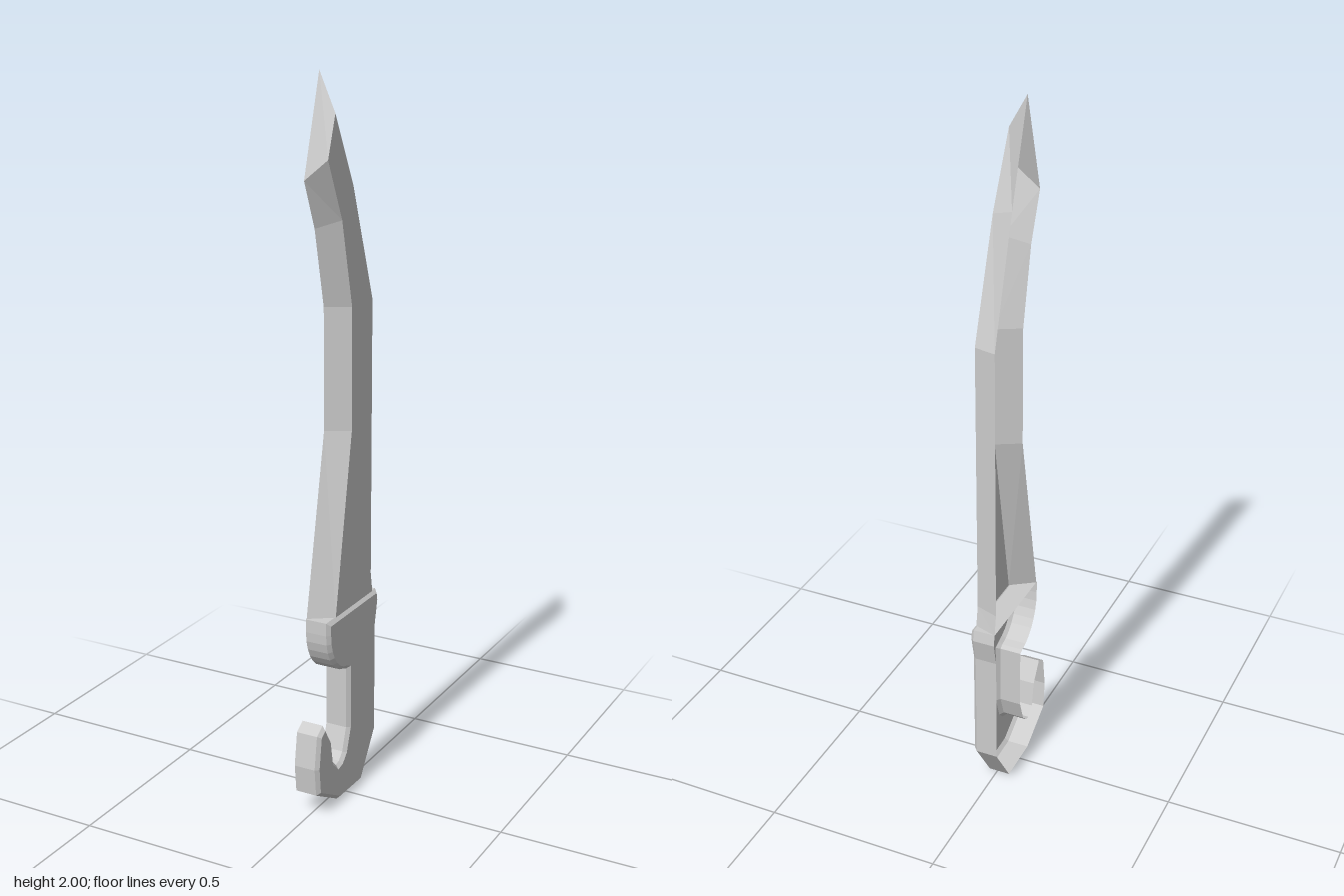
import * as THREE from 'three';
import { mergeGeometries } from 'three/addons/utils/BufferGeometryUtils.js';

const BACK = -0.037; // open flat side of the half shell

// Wall between two outlines of [z, y] points lying at two x positions
function wall(a, xa, b, xb, closed) {
  const pos = [];
  const n = a.length;
  for (let i = 0; i < (closed ? n : n - 1); i++) {
    const j = (i + 1) % n;
    const a0 = [xa, a[i][1], a[i][0]], a1 = [xa, a[j][1], a[j][0]];
    const b0 = [xb, b[i][1], b[i][0]], b1 = [xb, b[j][1], b[j][0]];
    pos.push(...a0, ...a1, ...b1, ...a0, ...b1, ...b0);
  }
  const g = new THREE.BufferGeometry();
  g.setAttribute('position', new THREE.Float32BufferAttribute(pos, 3));
  g.computeVertexNormals();
  return g;
}

// Flat side face filling an outline, facing +x
function face(outline, x) {
  const shape = new THREE.Shape(outline.map(([z, y]) => new THREE.Vector2(-z, y)));
  const g = new THREE.ShapeGeometry(shape).rotateY(Math.PI / 2).translate(x, 0, 0).toNonIndexed();
  g.deleteAttribute('uv');
  return g;
}

// Mitred inward offset of a closed outline
function inset(pts, d) {
  const n = pts.length;
  const normal = (p, q) => {
    const dz = q[0] - p[0], dy = q[1] - p[1], l = Math.hypot(dz, dy);
    return [dy / l, -dz / l];
  };
  return pts.map((p, i) => {
    const m = normal(pts[(i + n - 1) % n], p), k = normal(p, pts[(i + 1) % n]);
    const s = d / Math.max(0.5, 1 + m[0] * k[0] + m[1] * k[1]);
    return [p[0] + (m[0] + k[0]) * s, p[1] + (m[1] + k[1]) * s];
  });
}

function part(name, geometries) {
  const material = new THREE.MeshStandardMaterial({
    color: 0xcccccc, flatShading: true, side: THREE.DoubleSide,
  });
  const mesh = new THREE.Mesh(mergeGeometries(geometries), material);
  mesh.name = name;
  return mesh;
}

export function createModel() {
  const group = new THREE.Group();
  group.name = 'curvedBladeHalf';

  // Blade: outer edge, from the back of the base over the tip to the front
  const edge = [
    [-0.172, 0.557], [-0.163, 0.615], [-0.163, 1.4], [-0.06, 1.735], [0.03, 2.0],
    [0.11, 1.735], [0.057, 1.607], [0.01, 1.395], [0.01, 1.06], [0.11, 0.557],
  ];
  // Matching border of the raised flat
  const flat = [
    [-0.15, 0.557], [-0.14, 0.615], [-0.14, 1.395], [-0.03, 1.71], [0.066, 1.9],
    [0.104, 1.79], [0.03, 1.63], [-0.025, 1.395], [-0.025, 1.06], [0.065, 0.557],
  ];
  group.add(part('blade', [wall(edge, BACK, flat, 0.028, false), face(flat, 0.028)]));

  // Handle: top, rounded guard, finger slot, hook, then up the back
  const guard = [];
  for (let i = 0; i <= 7; i++) {
    const t = (i / 7) * 1.45;
    guard.push([0.114 - 0.114 * (1 - Math.cos(t)), 0.52 - 0.135 * Math.sin(t)]);
  }
  const handle = [
    [-0.172, 0.557], [0.114, 0.557], ...guard, [0, 0.38],
    [0, 0.2], [0.022, 0.135], [0.042, 0.115], [0.06, 0.111], [0.085, 0.135], [0.098, 0.207],
    [0.135, 0.265], [0.167, 0.245], [0.181, 0.15], [0.173, 0.07], [0.055, 0.003],
    [-0.077, 0], [-0.163, 0.13], [-0.163, 0.456], [-0.178, 0.525],
  ];
  const rim = inset(handle, 0.01);
  group.add(part('handle', [
    wall(handle, BACK, handle, 0.025, true),
    wall(handle, 0.025, rim, 0.035, true),
    face(rim, 0.035),
  ]));

  return group;
}
